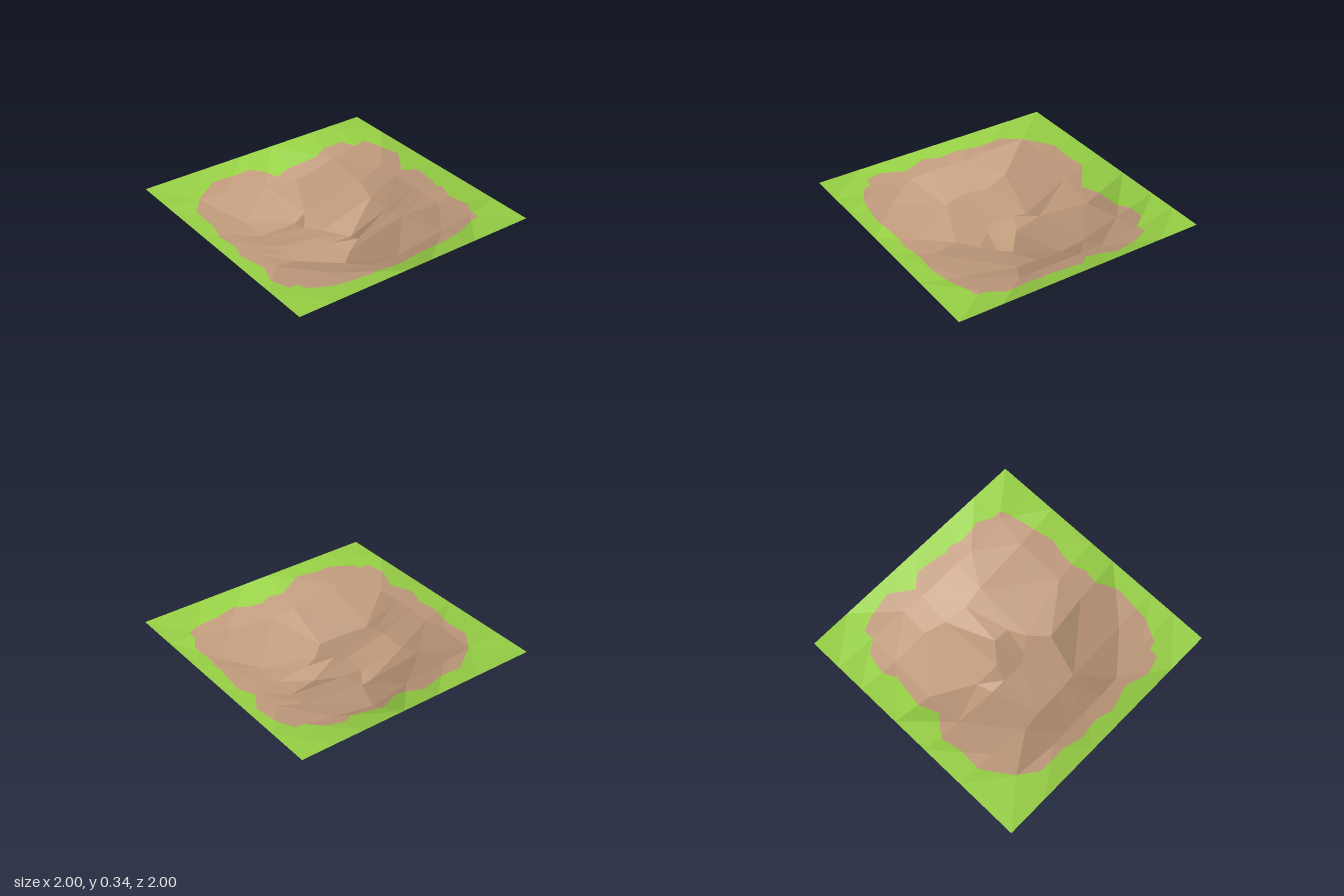
import * as THREE from 'three';

const RIM = 0.34;

// Interior ground points [x, z, y], row by row from back to front.
const GROUND = [
  [[-.74, -.68, .31], [-.5, -.68, .29], [-.15, -.67, .24], [.15, -.67, .18], [.5, -.67, .25], [.74, -.67, .30]],
  [[-.77, -.33, .29], [-.53, -.37, .185], [-.13, -.30, .065], [-.01, -.34, .095], [.53, -.35, .18], [.74, -.35, .26]],
  [[-.76, -.17, .27], [-.5, -.2, .14], [-.13, -.18, .085], [0, -.12, .045], [.5, -.17, .135], [.73, -.17, .25]],
  [[-.76, 0, .28], [-.5, .01, .16], [-.14, 0, .095], [.16, .02, 0], [.48, .03, .125], [.73, .06, .26]],
  [[-.76, .17, .28], [-.49, .1, .15], [-.08, .09, .07], [.14, .14, .05], [.49, .12, .14], [.73, .2, .26]],
  [[-.75, .36, .28], [-.48, .2, .13], [-.13, .33, .04], [.01, .21, .03], [.5, .21, .15], [.73, .35, .25]],
  [[-.72, .66, .31], [-.5, .66, .29], [-.12, .66, .20], [.1, .66, .20], [.5, .66, .25], [.75, .68, .30]],
];

// Cells (row, column) creased along their longer diagonal.
const LONG_CREASES = ['6,2'];

// Edge of the bare earth as x, z pairs.
const OUTLINE = [
  -.84, -.53, -.73, -.68, -.51, -.83, -.33, -.82, -.17, -.85, -.11, -.81, 0, -.72,
  .15, -.78, .4, -.75, .5, -.8, .66, -.77, .73, -.67, .82, -.67, .87, -.55,
  .91, -.35, .8, -.17, .88, -.07, .86, .12, .84, .2, .86, .24, .83, .35,
  .85, .54, .79, .64, .78, .73, .6, .78, .34, .83, .19, .8, .07, .8,
  0, .83, -.12, .81, -.31, .87, -.61, .83, -.77, .74, -.78, .68, -.86, .67,
  -.9, .53, -.84, .35, -.9, .15, -.86, .02, -.88, -.15, -.84, -.3,
];

// Add the flat square rim around the interior points.
function terrainGrid() {
  const edge = (row, z) => row.map(([x]) => [x, z, RIM]);
  const rows = [edge(GROUND[0], -1), ...GROUND, edge(GROUND[6], 1)];
  const zs = [-1, -.67, -.33, -.17, 0, .17, .33, .66, 1];
  return rows.map((row, j) => [[-1, zs[j], RIM], ...row, [1, zs[j], RIM]]);
}

// Upward-facing triangles, each cell normally split along its shorter diagonal.
function terrainTriangles(grid) {
  const dist = (a, b) => Math.hypot(a[0] - b[0], a[1] - b[1], a[2] - b[2]);
  const tris = [];
  for (let j = 0; j < grid.length - 1; j++) {
    for (let i = 0; i < grid[j].length - 1; i++) {
      const a = grid[j][i], b = grid[j + 1][i], c = grid[j + 1][i + 1], d = grid[j][i + 1];
      const acShorter = dist(a, c) < dist(b, d);
      if (acShorter !== LONG_CREASES.includes(`${j},${i}`)) tris.push([a, b, c], [a, c, d]);
      else tris.push([a, b, d], [b, c, d]);
    }
  }
  return tris;
}

// Keep the part of a polygon on one side of the line a-b, seen from above.
function clip(poly, a, b, sign) {
  const side = (p) => sign * ((b[0] - a[0]) * (p[1] - a[1]) - (b[1] - a[1]) * (p[0] - a[0]));
  const out = [];
  poly.forEach((p, i) => {
    const q = poly[(i + 1) % poly.length];
    const sp = side(p), sq = side(q);
    if (sp >= 0) out.push(p);
    if ((sp > 0 && sq < 0) || (sp < 0 && sq > 0)) {
      const t = sp / (sp - sq);
      out.push(p.map((v, k) => v + (q[k] - v) * t));
    }
  });
  return out;
}

function addFan(positions, poly) {
  for (let i = 1; i < poly.length - 1; i++) {
    for (const [x, z, y] of [poly[0], poly[i], poly[i + 1]]) positions.push(x, y, z);
  }
}

function surface(name, positions, color) {
  const geometry = new THREE.BufferGeometry();
  geometry.setAttribute('position', new THREE.Float32BufferAttribute(positions, 3));
  geometry.computeVertexNormals();
  const material = new THREE.MeshStandardMaterial({ color, flatShading: true, side: THREE.DoubleSide });
  const mesh = new THREE.Mesh(geometry, material);
  mesh.name = name;
  return mesh;
}

export function createModel() {
  const earth = [], grass = [];
  const centre = [0, 0];
  const points = [];
  for (let i = 0; i < OUTLINE.length; i += 2) points.push([OUTLINE[i], OUTLINE[i + 1]]);

  // Cut every facet by the wedges of the outline: inside is earth, outside grass.
  for (const tri of terrainTriangles(terrainGrid())) {
    points.forEach((a, i) => {
      const b = points[(i + 1) % points.length];
      const wedge = clip(clip(tri, centre, a, 1), centre, b, -1);
      if (wedge.length < 3) return;
      addFan(earth, clip(wedge, a, b, 1));
      addFan(grass, clip(wedge, a, b, -1));
    });
  }

  const group = new THREE.Group();
  group.name = 'groundHollow';
  group.add(surface('bareEarth', earth, 0xc09a7c), surface('grassRim', grass, 0x97d045));
  return group;
}
